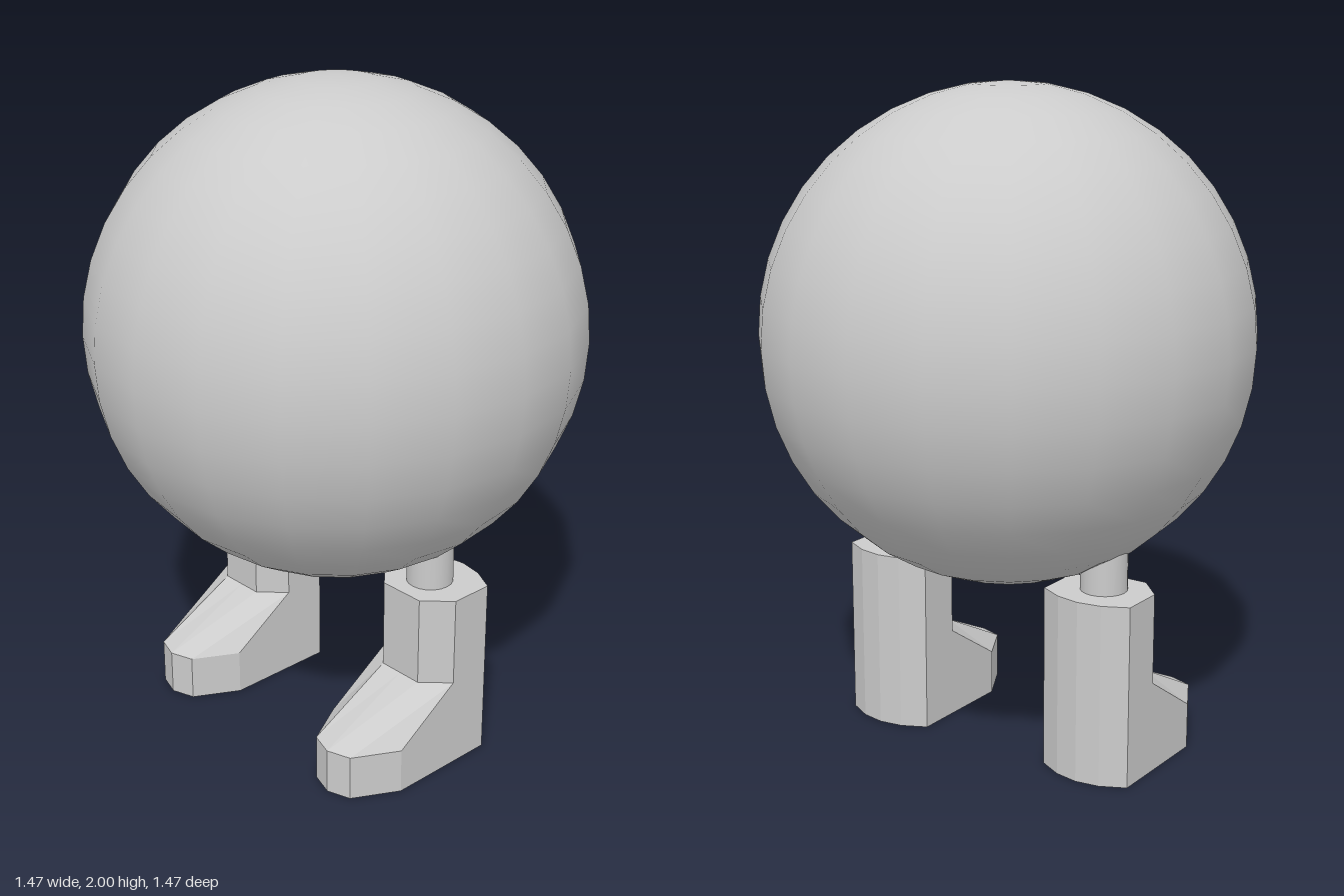
import * as THREE from 'three';

const smooth = new THREE.MeshStandardMaterial({ color: 0xcccccc });
const flat = new THREE.MeshStandardMaterial({ color: 0xcccccc, flatShading: true });

// Ten-sided boot outline; only the front edge changes with height
function outline(y, sideZ, frontZ, tipZ) {
  const half = [[0.147, -0.13], [0.147, sideZ], [0.073, frontZ]];
  const ring = [...half, [0, tipZ], ...half.map(([x, z]) => [-x, z]).reverse(),
    [-0.073, -0.168], [0, -0.18], [0.073, -0.168]];
  return ring.map(([x, z]) => [x, y, z]);
}

// Joins the outlines from bottom to top and closes both ends
function loft(rings) {
  const pos = [];
  const tri = (a, b, c) => pos.push(...a, ...b, ...c);
  const n = rings[0].length;
  const top = rings[rings.length - 1];
  const centre = (ring) => [0, ring[0][1], -0.05];
  for (let i = 0; i < n; i++) {
    const j = (i + 1) % n;
    for (let k = 0; k < rings.length - 1; k++) {
      const lo = rings[k], hi = rings[k + 1];
      tri(lo[i], hi[i], lo[j]);
      tri(lo[j], hi[i], hi[j]);
    }
    tri(centre(rings[0]), rings[0][i], rings[0][j]);
    tri(centre(top), top[j], top[i]);
  }
  const geo = new THREE.BufferGeometry();
  geo.setAttribute('position', new THREE.Float32BufferAttribute(pos, 3));
  geo.computeVertexNormals();
  return geo;
}

export function createModel() {
  const model = new THREE.Group();
  model.name = 'ballWithBoots';
  const add = (parent, name, geo, mat, x, y, z) => {
    const mesh = new THREE.Mesh(geo, mat);
    mesh.name = name;
    mesh.position.set(x, y, z);
    parent.add(mesh);
  };

  // Round body
  add(model, 'body', new THREE.SphereGeometry(0.737, 20, 20), smooth, 0, 1.263, 0);

  // Boots: sole, toe top, instep, shaft top
  const bootGeo = loft([
    outline(0, 0.217, 0.352, 0.376),
    outline(0.14, 0.217, 0.352, 0.376),
    outline(0.28, 0.005, 0.08, 0.08),
    outline(0.555, 0.005, 0.08, 0.08),
  ]);
  const legGeo = new THREE.CylinderGeometry(0.07, 0.07, 0.3, 20);

  for (const [name, side] of [['left', 1], ['right', -1]]) {
    const leg = new THREE.Group();
    leg.name = name + 'Leg';
    leg.position.x = side * 0.368;
    add(leg, name + 'Boot', bootGeo, flat, 0, 0, 0);
    add(leg, name + 'Shin', legGeo, smooth, 0, 0.68, -0.037);
    model.add(leg);
  }
  return model;
}
